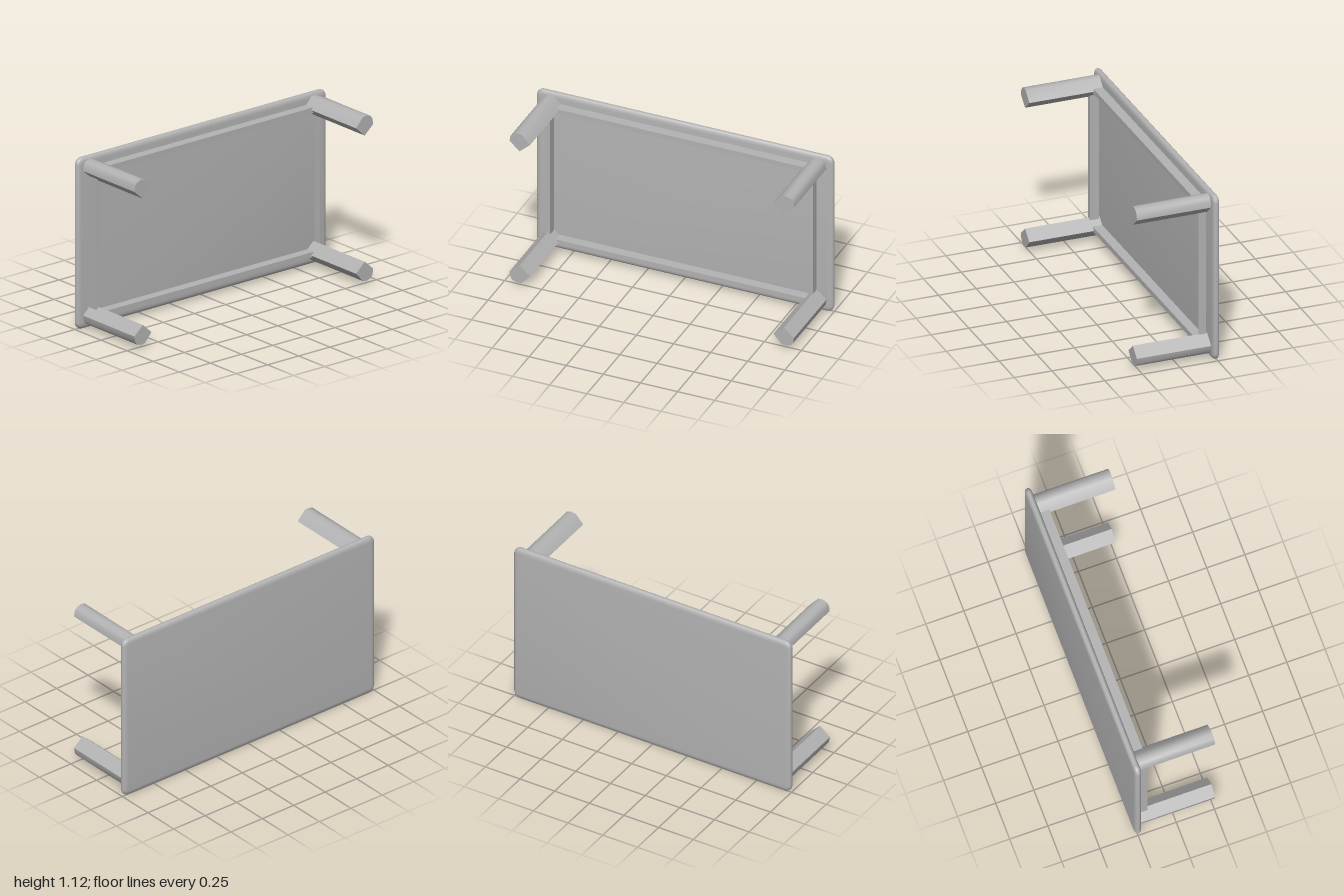
import * as THREE from 'three';
import { toCreasedNormals } from 'three/addons/utils/BufferGeometryUtils.js';

export function createModel() {
  const model = new THREE.Group();
  model.name = 'tippedTable';
  const grey = new THREE.MeshStandardMaterial({ color: 0xb3b3b3, side: THREE.DoubleSide });
  grey.name = 'grey';
  const midY = 0.562;

  const add = (name, geometry, x = 0, y = 0, z = 0) => {
    const mesh = new THREE.Mesh(geometry, grey);
    mesh.name = name;
    mesh.position.set(x, y, z);
    model.add(mesh);
    return mesh;
  };

  // Table top: rounded rectangle with a bullnose edge
  const bevel = 0.035, r = 0.012;
  const w = 1 - bevel, h = 0.56 - bevel;
  const outline = new THREE.Shape();
  outline.absarc(w - r, h - r, r, 0, Math.PI / 2);
  outline.absarc(-w + r, h - r, r, Math.PI / 2, Math.PI);
  outline.absarc(-w + r, -h + r, r, Math.PI, Math.PI * 1.5);
  outline.absarc(w - r, -h + r, r, Math.PI * 1.5, Math.PI * 2);
  const top = new THREE.ExtrudeGeometry(outline, {
    depth: 0.005, bevelEnabled: true, bevelSize: bevel, bevelThickness: 0.02,
    bevelSegments: 5, curveSegments: 5,
  });
  add('tableTop', toCreasedNormals(top, 0.6), 0, 0.56, -0.2475);

  // Legs: diamond inside, rounded towards the outer corner, mirrored to each corner
  const profile = [[0.82, 0.476], [0.89, 0.413], [0.958, 0.473], [0.952, 0.51],
    [0.938, 0.53], [0.905, 0.541], [0.875, 0.536]];
  for (const sx of [-1, 1]) {
    for (const sy of [-1, 1]) {
      const points = profile.map(([x, y]) => new THREE.Vector2(sx * x, sy * y));
      const leg = new THREE.ExtrudeGeometry(new THREE.Shape(points), { depth: 0.5, bevelEnabled: false });
      const side = (sy > 0 ? 'upper' : 'lower') + (sx > 0 ? 'Left' : 'Right');
      add(side + 'Leg', toCreasedNormals(leg, 0.75), 0, midY, -0.23);
    }
  }

  // Long apron rails
  for (const sy of [-1, 1]) {
    add(sy > 0 ? 'upperRail' : 'lowerRail', new THREE.BoxGeometry(1.7, 0.034, 0.075),
      0, midY + sy * 0.473, -0.1975);
  }

  // Short end rails: a bar on one side, a thin panel on the other
  add('rightEndRail', new THREE.BoxGeometry(0.034, 0.88, 0.06), -0.892, midY, -0.184);
  const panel = new THREE.PlaneGeometry(0.052, 0.88).rotateY(Math.PI / 2);
  add('leftEndRail', panel, 0.893, midY, -0.189);

  return model;
}
